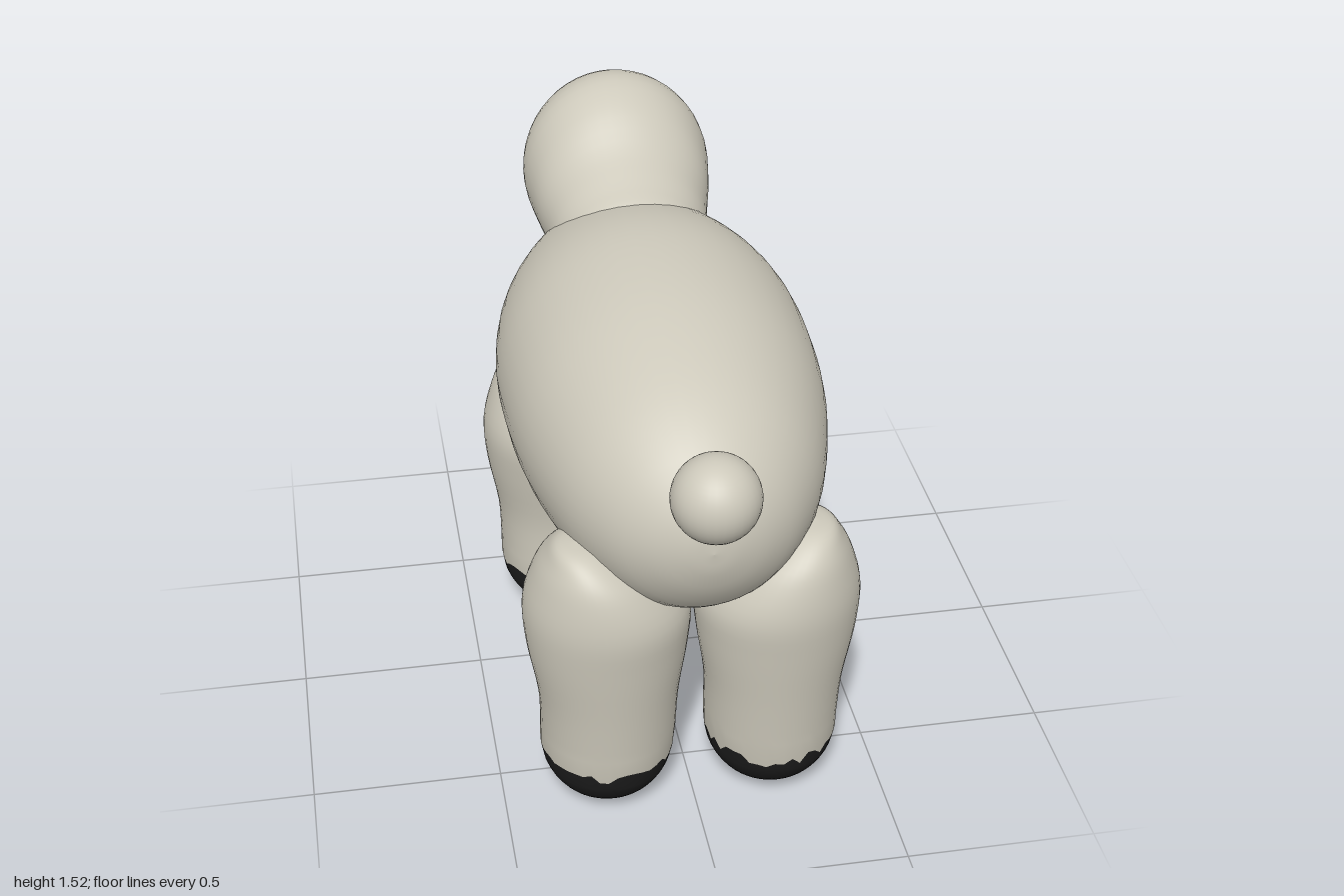
import * as THREE from 'three';

const COLS = 48, STEPS = 4;

// Small seeded generator for the ragged hoof edge
function seeded(seed) {
  return () => (seed = (seed * 16807) % 2147483647) / 2147483647;
}

// Smooth skin over elliptical sections [t, c1, c2, r1, r2];
// place(t, a, b) turns them into x, y, z. An optional cut (in section units)
// becomes a ragged ring separating two material groups.
function loft(rows, place, cut, rand) {
  const spline = (f) => new THREE.CatmullRomCurve3(rows.map(f), false, 'catmullrom', 0.5);
  const mid = spline((r) => new THREE.Vector3(r[0], r[1], r[2]));
  const rad = spline((r) => new THREE.Vector3(r[3], r[4], 0));
  const last = rows.length - 1;

  let rings = Array.from({ length: last * STEPS + 1 }, (_, i) => i / STEPS);
  if (cut) {
    rings = rings.filter((u) => u < cut - 0.5 || u > cut + 0.5);
    rings.push(cut);
    rings.sort((a, b) => a - b);
  }

  const pos = [], index = [];
  for (const u of rings) {
    for (let j = 0; j < COLS; j++) {
      const jag = u === cut ? (rand() < 0.3 ? 0.1 + rand() * 0.35 : (rand() - 0.6) * 0.25) : 0;
      const s = (u + jag) / last, a = (j / COLS) * Math.PI * 2;
      const m = mid.getPoint(s), r = rad.getPoint(s);
      pos.push(...place(m.x, m.y + Math.max(r.x, 0) * Math.cos(a), m.z + Math.max(r.y, 0) * Math.sin(a)));
    }
  }
  for (let i = 0; i < rings.length - 1; i++) {
    for (let j = 0; j < COLS; j++) {
      const k = (j + 1) % COLS;
      const a = i * COLS + j, b = i * COLS + k, c = a + COLS, d = b + COLS;
      index.push(a, b, c, b, d, c);
    }
  }
  const geo = new THREE.BufferGeometry();
  geo.setAttribute('position', new THREE.Float32BufferAttribute(pos, 3));
  geo.setIndex(index);
  geo.computeVertexNormals();
  if (cut) {
    const split = rings.indexOf(cut) * COLS * 6;
    geo.addGroup(0, split, 0);
    geo.addGroup(split, index.length - split, 1);
  }
  return geo;
}

// Section helper for parts along z: z, top, bottom, half width
const slice = (z, top, bottom, w) => [z, 0, (top + bottom) / 2, w, (top - bottom) / 2];
const alongZ = (t, a, b) => [a, b, t];
const alongY = (t, a, b) => [a, t, b];

export function createModel() {
  const model = new THREE.Group();
  model.name = 'lamb';
  const wool = new THREE.MeshStandardMaterial({ color: 0xcdc9bb });
  wool.name = 'wool';
  const hoof = new THREE.MeshStandardMaterial({ color: 0x1c1c1c });
  hoof.name = 'hoof';

  const add = (name, geo, mat) => {
    const mesh = new THREE.Mesh(geo, mat);
    mesh.name = name;
    model.add(mesh);
    return mesh;
  };

  // Barrel body
  add('body', loft([
    slice(-0.6, 0.95, 0.95, 0),
    slice(-0.59, 1.04, 0.86, 0.09),
    slice(-0.55, 1.14, 0.76, 0.18),
    slice(-0.47, 1.22, 0.665, 0.275),
    slice(-0.3, 1.285, 0.58, 0.365),
    slice(-0.1, 1.338, 0.55, 0.41),
    slice(0.1, 1.35, 0.553, 0.42),
    slice(0.35, 1.325, 0.57, 0.4),
    slice(0.6, 1.255, 0.61, 0.335),
    slice(0.75, 1.17, 0.68, 0.25),
    slice(0.83, 1.08, 0.77, 0.16),
    slice(0.87, 1.0, 0.86, 0.07),
    slice(0.88, 0.93, 0.93, 0),
  ], alongZ), wool);

  // Head with tapering muzzle, running back into the body as the neck
  add('head', loft([
    slice(-1.0, 1.165, 1.165, 0),
    slice(-0.99, 1.22, 1.11, 0.045),
    slice(-0.95, 1.28, 1.055, 0.095),
    slice(-0.88, 1.365, 1.02, 0.15),
    slice(-0.75, 1.475, 0.995, 0.225),
    slice(-0.62, 1.517, 0.98, 0.262),
    slice(-0.5, 1.475, 0.97, 0.25),
    slice(-0.4, 1.39, 0.97, 0.227),
    slice(-0.3, 1.335, 0.97, 0.21),
    slice(-0.2, 1.28, 0.97, 0.18),
    slice(-0.1, 1.1, 1.1, 0),
  ], alongZ), wool);

  // Bobble tail
  add('tail', new THREE.SphereGeometry(0.11, 32, 24), wool).position.set(0, 1.1, 0.89);

  // Leg sections: y, x, half width, z of hind leg, z of fore leg, half depth
  const leg = [
    [0.848, 0.3, 0, 0.65, -0.33, 0],
    [0.838, 0.295, 0.055, 0.648, -0.325, 0.07],
    [0.8, 0.272, 0.105, 0.635, -0.315, 0.135],
    [0.74, 0.245, 0.162, 0.618, -0.3, 0.185],
    [0.64, 0.222, 0.212, 0.605, -0.288, 0.215],
    [0.52, 0.22, 0.208, 0.606, -0.29, 0.202],
    [0.36, 0.218, 0.183, 0.606, -0.295, 0.18],
    [0.22, 0.218, 0.178, 0.587, -0.3, 0.182],
    [0.15, 0.22, 0.175, 0.578, -0.303, 0.184],
    [0.09, 0.22, 0.157, 0.572, -0.303, 0.166],
    [0.04, 0.22, 0.12, 0.57, -0.303, 0.125],
    [0.012, 0.22, 0.068, 0.57, -0.303, 0.07],
    [0, 0.22, 0, 0.57, -0.303, 0],
  ];
  const rand = seeded(77);
  for (const side of [1, -1]) {
    for (const hind of [true, false]) {
      const rows = leg.map(([y, x, w, zh, zf, d]) => [hind ? y : y * 0.98, side * x, hind ? zh : zf, w, d]);
      const name = (side > 0 ? 'left' : 'right') + (hind ? 'Hind' : 'Fore') + 'Leg';
      add(name, loft(rows, alongY, 7.75, rand), [wool, hoof]);
    }
  }
  return model;
}
